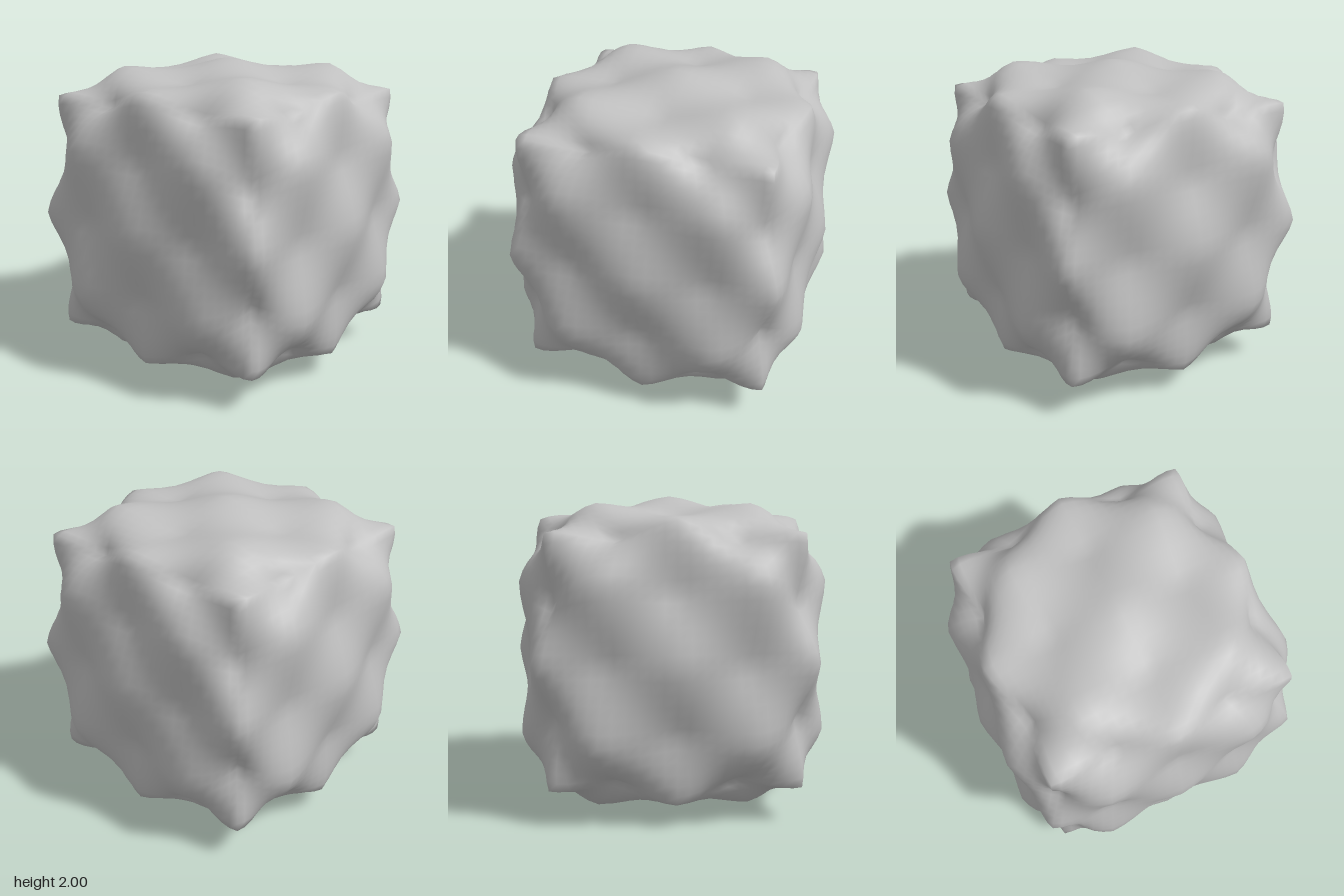
import * as THREE from 'three';
import { mergeVertices } from 'three/addons/utils/BufferGeometryUtils.js';

const SEGMENTS = 24;

// Wave of period 1 whose crests are a little pointed
function wave(t) {
  const c = Math.cos(2 * Math.PI * t);
  const triangle = 1 - (2 / Math.PI) * Math.acos(Math.max(-1, Math.min(1, c)));
  return 0.5 * c + 0.5 * triangle;
}

// Distance factor for a point on the unit cube: rounded cube plus a checkerboard of bumps
function bumpScale(p) {
  const xyz = [p.x, p.y, p.z];
  const rounded = 0.945 / Math.pow(xyz.reduce((s, c) => s + c ** 4, 0), 0.25);
  const bumps = xyz.reduce((f, c) => f * wave(c), 1);
  const sag = xyz.reduce((s, c) => s + Math.sin(Math.PI * c) ** 2, 0);
  return rounded + 0.055 * bumps - 0.01 * sag;
}

export function createModel() {
  const group = new THREE.Group();
  group.name = 'lumpyCube';

  const grey = new THREE.MeshStandardMaterial({ color: 0xbfbfbf });
  grey.name = 'grey';

  // One closed skin, welded so that it shades smoothly over the edges
  let geometry = new THREE.BoxGeometry(2, 2, 2, SEGMENTS, SEGMENTS, SEGMENTS);
  geometry.deleteAttribute('normal');
  geometry.deleteAttribute('uv');
  geometry.clearGroups();
  geometry = mergeVertices(geometry, 1e-4);

  // Push every point in or out from the centre
  const position = geometry.attributes.position;
  const p = new THREE.Vector3();
  for (let i = 0; i < position.count; i++) {
    p.fromBufferAttribute(position, i);
    p.multiplyScalar(bumpScale(p));
    position.setXYZ(i, p.x, p.y, p.z);
  }
  geometry.computeVertexNormals();

  const body = new THREE.Mesh(geometry, grey);
  body.name = 'body';
  body.position.y = 1;
  group.add(body);
  return group;
}
